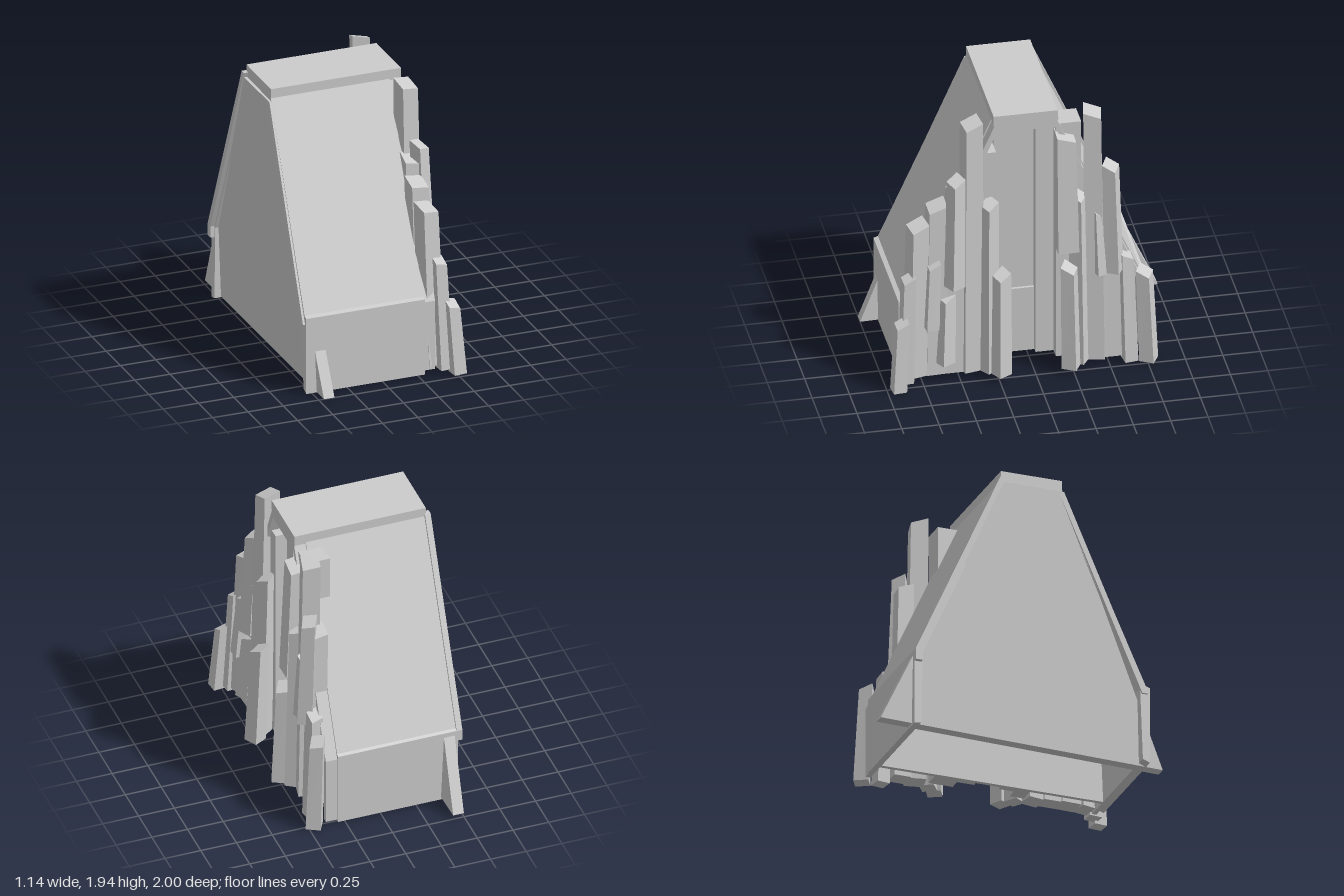
import * as THREE from 'three';

const material = new THREE.MeshStandardMaterial({ color: 0xcccccc, flatShading: true, side: THREE.DoubleSide });

export function createModel() {
  const model = new THREE.Group();

  function add(name, geometry, parent = model) {
    const mesh = new THREE.Mesh(geometry, material);
    mesh.name = name;
    parent.add(mesh);
  }

  function group(name) {
    const g = new THREE.Group();
    g.name = name;
    model.add(g);
    return g;
  }

  // Box between two corners
  function block(name, [x0, y0, z0], [x1, y1, z1], parent) {
    const g = new THREE.BoxGeometry(x1 - x0, y1 - y0, z1 - z0);
    g.translate((x0 + x1) / 2, (y0 + y1) / 2, (z0 + z1) / 2);
    add(name, g, parent);
  }

  // Outline of [z, y] points, extruded from x0 to x1; lean and yaw shift x with height and depth
  function slab(name, points, x0, x1, lean = 0, yaw = 0) {
    const shape = new THREE.Shape(points.map(([z, y]) => new THREE.Vector2(z, y)));
    const g = new THREE.ExtrudeGeometry(shape, { depth: x1 - x0, bevelEnabled: false });
    g.rotateY(-Math.PI / 2);
    g.translate(x1, 0, 0);
    const p = g.attributes.position;
    for (let i = 0; i < p.count; i++) p.setX(i, p.getX(i) + lean * p.getY(i) + yaw * p.getZ(i));
    g.computeVertexNormals();
    add(name, g);
  }

  // Leaning, tapered rock column with a twisted section and a slanted head
  const rocks = group('rockColumns');
  function column(x, z, y0, y1, w, twist) {
    const g = new THREE.BoxGeometry(1, 1, 1);
    const p = g.attributes.position;
    const c = Math.cos(twist), s = Math.sin(twist);
    const inward = -Math.sign(z);
    for (let i = 0; i < p.count; i++) {
      const t = p.getY(i) + 0.5;
      const k = w * (1 - 0.1 * t);
      const u = p.getX(i) * k, v = p.getZ(i) * k;
      p.setXYZ(i,
        x + 0.015 - 0.03 * t + u * c + v * s,
        y0 + (y1 - y0) * t + t * (0.04 * inward * p.getZ(i) - 0.02 * (p.getX(i) + 0.5)),
        z * (1.015 - 0.03 * t) - u * s + v * c);
    }
    g.computeVertexNormals();
    add('rockColumn', g, rocks);
  }

  // Hollow body, open below: lower walls, two slopes and a flat crown
  const inner = [[-0.73, 0.03], [-0.72, 0.54], [-0.15, 1.82], [0.24, 1.82], [0.81, 0.54], [0.83, 0.03]];
  slab('shell', [[0.88, 0.01], [0.88, 0.55], [0.85, 0.56], [0.26, 1.88], [-0.17, 1.88], [-0.76, 0.56], [-0.78, 0.55], [-0.78, 0.02], ...inner], -0.54, 0.3);
  slab('shellEdge', [[0.86, 0.03], [0.86, 0.52], [0.255, 1.87], [-0.165, 1.87], [-0.765, 0.52], [-0.765, 0.03], ...inner], 0.29, 0.38);
  slab('rockBackWall', inner, 0.18, 0.21);
  block('cap', [-0.54, 1.87, -0.17], [0.38, 1.945, 0.26]);

  // Side wall leaning outward, with its two feet showing front and rear
  slab('leaningSideWall', [[1, 0.01], [0.25, 1.86], [-0.16, 1.86], [-1, 0.04]], -0.48, -0.405, -0.043, 0.0175);

  // Ends of the sloping sheets, overhanging the side wall
  slab('rearSlopeEdge', [[-0.78, 0.47], [-0.78, 0.55], [-0.18, 1.9], [-0.14, 1.9], [-0.73, 0.55], [-0.73, 0.47]], -0.57, -0.53);
  slab('frontSlopeEdge', [[0.86, 0.5], [0.27, 1.86], [0.23, 1.86], [0.82, 0.5]], -0.555, -0.53);

  // Upright strips in the middle of the rock face, with a deep recess between them
  const face = group('rockFace');
  for (const [z0, z1, y0, y1, x] of [
    [0.24, 0.34, 0.05, 1.66, 0.36],
    [0.13, 0.24, 0.05, 1.87, 0.28],
    [-0.14, 0.17, 0.05, 0.52, 0.23],
    [-0.16, -0.04, 0.05, 1.87, 0.28],
    [-0.33, -0.16, 0.05, 1.83, 0.36],
  ]) block('rockStrip', [0.19, y0, z0], [x, y1, z1], face);

  // Columns repeated on the front and rear halves
  for (const [x, z, y0, y1, w, twist] of [
    [0.37, 0.41, 0.05, 1.91, 0.13, 0.2],
    [0.42, 0.30, 0.05, 1.31, 0.1, 0.6],
    [0.49, 0.23, 0.05, 0.8, 0.1, 0.5],
    [0.42, 0.525, 0.71, 1.51, 0.1, 0.5],
    [0.36, 0.52, 0.05, 1.42, 0.12, 0],
  ]) {
    column(x, z, y0, y1, w, twist);
    column(x, -z, y0, y1, w, -twist);
  }

  // Columns found on one half only: front first, then rear
  for (const [x, z, y0, y1, w, twist] of [
    [0.5, 0.91, 0.01, 0.51, 0.09, 0.1],
    [0.43, 0.85, 0.03, 0.81, 0.09, 0.1],
    [0.37, 0.775, 0.05, 1.17, 0.13, 0.25],
    [0.435, 0.68, 0.42, 0.9, 0.085, 0.1],
    [0.355, 0.645, 0.05, 1.3, 0.135, 0.05],
    [0.42, 0.59, 0.14, 0.64, 0.1, 0.5],
    [0.395, -0.22, 0.9, 1.76, 0.14, 0],
    [0.43, -0.435, 0.7, 1.16, 0.06, 0.3],
    [0.42, -0.63, 0.02, 0.82, 0.09, 0.15],
    [0.445, -0.75, 0.02, 0.69, 0.1, -0.5],
  ]) column(x, z, y0, y1, w, twist);

  return model;
}
